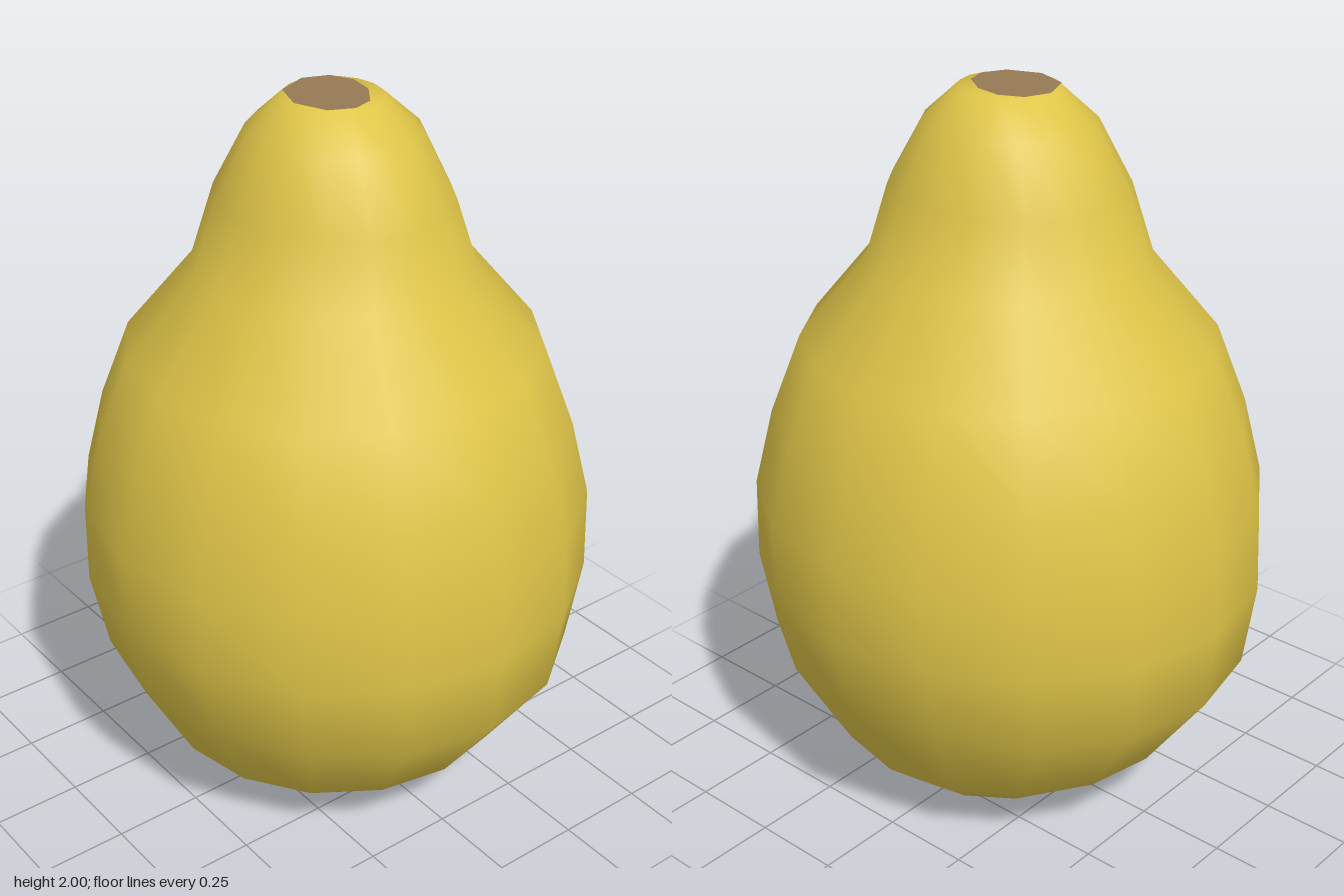
import * as THREE from 'three';
import { mergeVertices } from 'three/addons/utils/BufferGeometryUtils.js';

// Cross-sections from base to crown: [half width in x, half depth in z, height]
const RINGS = [
  [0, 0, 0], [0.38, 0.36, 0.075], [0.5, 0.5, 0.18], [0.64, 0.685, 0.44],
  [0.69, 0.712, 0.67], [0.69, 0.7, 0.9], [0.635, 0.65, 1.11], [0.555, 0.56, 1.33],
  [0.37, 0.38, 1.55], [0.3, 0.33, 1.74], [0.222, 0.23, 1.91], [0.125, 0.135, 1.997],
  [0, 0, 1.997],
];

// Sixteen-sided lathe, stretched in z ring by ring, with smooth normals all round
function fruitGeometry() {
  const profile = RINGS.map(([x, , y]) => new THREE.Vector2(x, y));
  const geo = new THREE.LatheGeometry(profile, 16);
  const pos = geo.attributes.position;
  for (let i = 0; i < pos.count; i++) {
    const [rx, rz] = RINGS[i % RINGS.length];
    if (rx > 0) pos.setZ(i, pos.getZ(i) * rz / rx);
  }
  geo.deleteAttribute('uv');
  geo.deleteAttribute('normal');
  const merged = mergeVertices(geo, 1e-4);
  merged.computeVertexNormals();
  return merged;
}

// Uneven stem scar lying on the flat crown (x, z outline)
function scarGeometry() {
  const outline = [
    [-0.124, 0], [-0.09, -0.095], [0, -0.134], [0.07, -0.108], [0.098, -0.045],
    [0.085, 0.03], [0.035, 0.1], [-0.025, 0.12], [-0.09, 0.09],
  ];
  const shape = new THREE.Shape(outline.map(([x, z]) => new THREE.Vector2(x, -z)));
  return new THREE.ShapeGeometry(shape).rotateX(-Math.PI / 2);
}

export function createModel() {
  const skin = new THREE.MeshStandardMaterial({ color: 0xdfc548 });
  skin.name = 'yellow skin';
  const stem = new THREE.MeshStandardMaterial({ color: 0x957a54 });
  stem.name = 'brown stem scar';

  const group = new THREE.Group();
  group.name = 'fruit';

  const body = new THREE.Mesh(fruitGeometry(), skin);
  body.name = 'body';

  const scar = new THREE.Mesh(scarGeometry(), stem);
  scar.name = 'stemScar';
  scar.position.y = 2;

  group.add(body, scar);
  return group;
}
